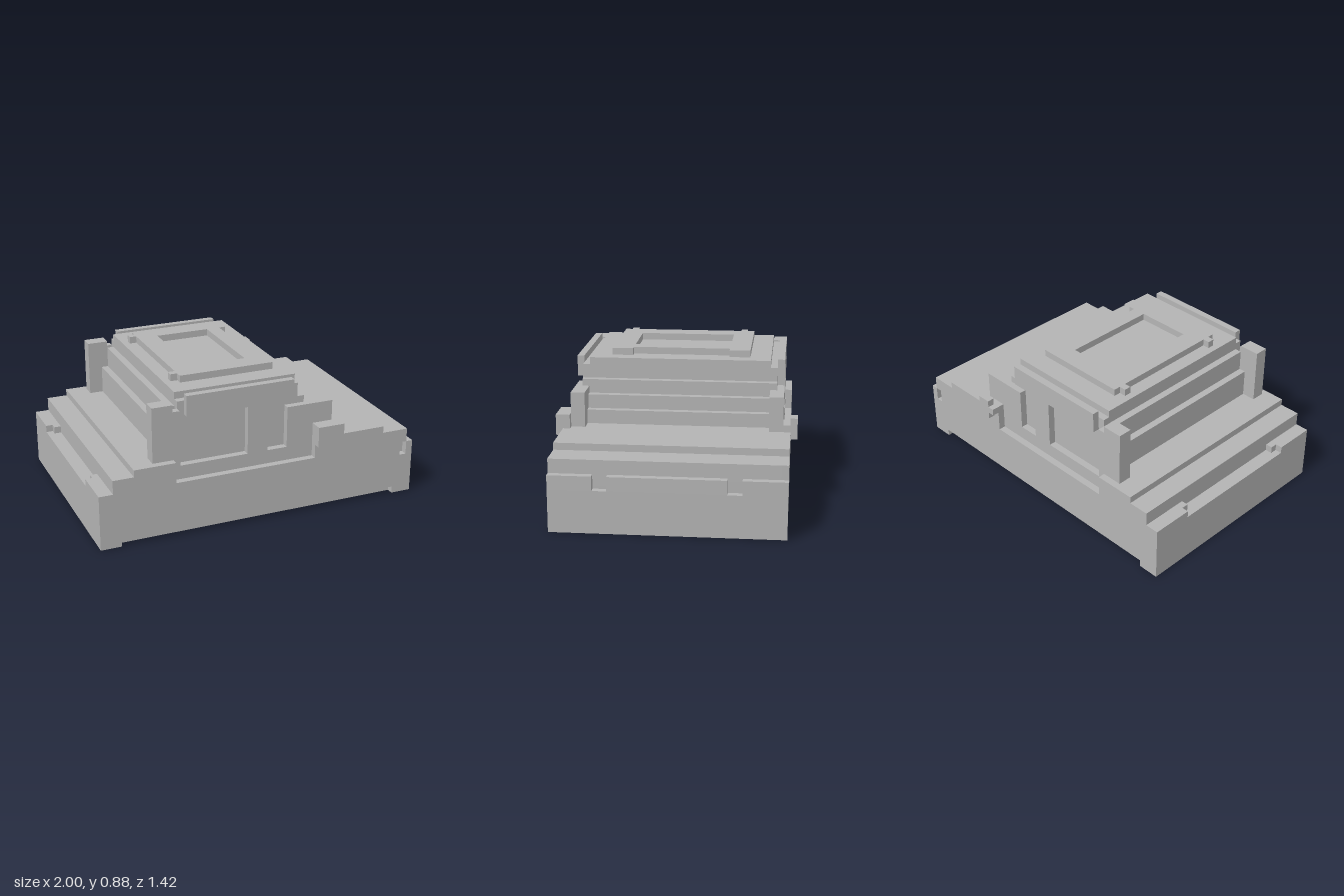
import * as THREE from 'three';

const U = 1 / 24; // block size

export function createModel() {
  const model = new THREE.Group();
  const grey = new THREE.MeshStandardMaterial({ color: 0xb4b4b4 });
  grey.name = 'plainGrey';

  // box from min/max block coordinates
  const box = (name, x0, x1, y0, y1, z0, z1) => {
    const g = new THREE.BoxGeometry((x1 - x0) * U, (y1 - y0) * U, (z1 - z0) * U);
    g.translate((x0 + x1) / 2 * U, (y0 + y1) / 2 * U, (z0 + z1) / 2 * U);
    const m = new THREE.Mesh(g, grey);
    m.name = name;
    model.add(m);
  };
  // centred box spanning both sides
  const mid = (name, x0, x1, y0, y1, w) => box(name, x0, x1, y0, y1, -w, w);
  // mirrored pair on both flanks
  const pair = (name, x0, x1, y0, y1, z0, z1) => {
    box(name + 'Near', x0, x1, y0, y1, z0, z1);
    box(name + 'Far', x0, x1, y0, y1, -z1, -z0);
  };

  // lower hull with recessed sills
  mid('floor', -21, 21, 0, 1, 15);
  mid('rearFoot', -24, -21, 0, 1, 16);
  mid('frontFoot', 21, 24, 0, 1, 16);
  mid('hull', -24, 24, 1, 6, 16);

  // belt level with lamp notches at both ends
  mid('belt', -22, 22, 6, 8, 16);
  mid('frontBelt', 22, 23, 6, 8, 15);
  mid('grille', 23, 24, 6, 8, 8);
  pair('frontCorner', 23, 24, 6, 8, 10, 16);
  pair('rearCorner', -24, -22, 6, 8, 10, 16);
  mid('rearLedge', -24, -22, 6, 7, 10);
  pair('rearLamp', -23, -22, 7, 8, 9, 10);

  // decks, with the flanks cut in beside the cabin
  mid('lowerDeck', -22, 23, 8, 10, 15);
  pair('lowerRearFlank', -22, -13, 8, 10, 15, 16);
  pair('lowerFrontFlank', 8, 23, 8, 10, 15, 16);
  mid('upperDeck', -19, 19, 10, 11, 14);
  pair('upperRearFlank', -19, -13, 10, 11, 14, 16);
  pair('upperFrontFlank', 8, 19, 10, 11, 14, 16);

  // stepped cabin: rear end, front end, bottom, top
  const steps = [[-14, 9, 11, 13], [-14, 8, 13, 15], [-13, 7, 15, 17], [-13, 6, 17, 18], [-12, 6, 18, 20]];
  for (const [x0, x1, y0, y1] of steps) mid('cabinStep', x0, x1, y0, y1, 13);
  pair('sideWindow', -13, 7, 11, 17, 13, 14);
  pair('gutter', -12, 6, 17, 19, 13, 14);

  // side frames
  pair('rearPost', -16, -13, 11, 19, 13, 15);
  pair('rearPostLip', -13, -12, 10, 18, 14, 15);
  pair('middlePost', -2, 1, 10, 17, 14, 15);
  pair('frontPanel', 4, 11, 11, 16, 13, 15);
  pair('frontPanelBase', 4, 8, 10, 11, 14, 15);
  pair('roofRail', -11, 5, 17, 20, 14, 15);

  // side mirrors, different on each side
  box('mirrorNear', 8, 12, 10, 13, 15, 17);
  box('mirrorArmFar', 8, 11, 11, 12, -16, -15);
  box('mirrorFar', 9, 11, 10, 13, -17, -16);
  box('mirrorTipFar', 8, 9, 11, 12, -17, -16);

  // roof frame around a sunken panel
  mid('roofFrameRear', -10, -7, 20, 21, 10);
  mid('roofFrameFront', 1, 3, 20, 21, 7);
  pair('roofFrameSide', -7, 4, 20, 21, 7, 10);
  pair('roofFrameTab', -11, -10, 20, 21, 8, 9);

  return model;
}
